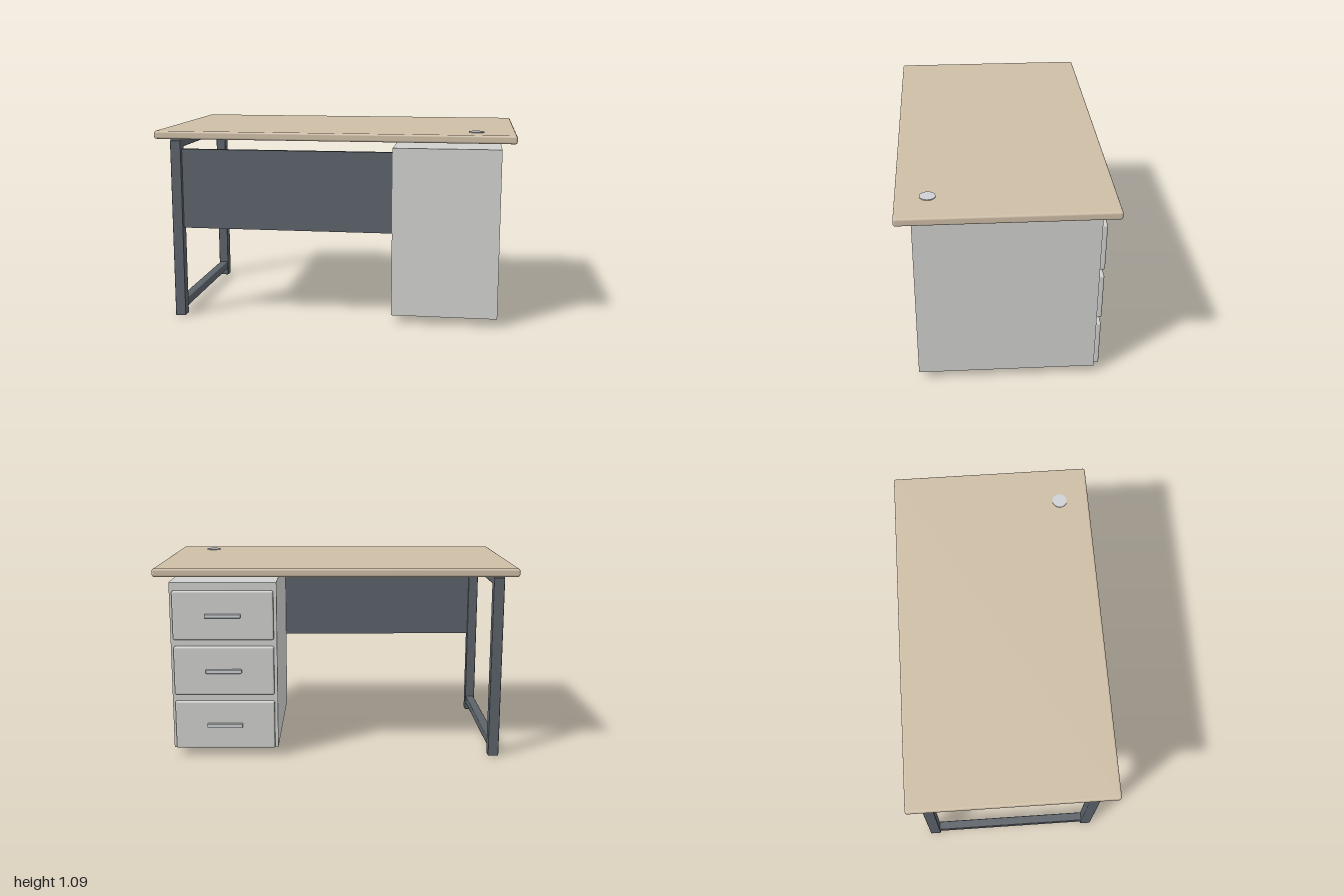
import * as THREE from 'three';
import { RoundedBoxGeometry } from 'three/addons/geometries/RoundedBoxGeometry.js';

const material = (name, color) => {
  const m = new THREE.MeshStandardMaterial({ color });
  m.name = name;
  return m;
};

export function createModel() {
  const wood = material('lightWood', 0xcdbda6);
  const grey = material('lightGrey', 0xd0d0ce);
  const steel = material('slateSteel', 0x5b6269);
  const silver = material('silver', 0xcdd1d4);

  const desk = new THREE.Group();
  desk.name = 'desk';

  // Box given by its extents on each axis, with optional softened edges
  function box(parent, name, mat, [x0, x1], [y0, y1], [z0, z1], radius = 0) {
    const size = [x1 - x0, y1 - y0, z1 - z0];
    const geometry = radius
      ? new RoundedBoxGeometry(...size, 3, radius)
      : new THREE.BoxGeometry(...size);
    const mesh = new THREE.Mesh(geometry, mat);
    mesh.name = name;
    mesh.position.set((x0 + x1) / 2, (y0 + y1) / 2, (z0 + z1) / 2);
    parent.add(mesh);
    return mesh;
  }

  // Tabletop with its cable grommet
  box(desk, 'tabletop', wood, [-1, 1], [1.04, 1.085], [-0.57, 0.57], 0.012);
  const grommet = new THREE.Mesh(new THREE.CylinderGeometry(0.042, 0.042, 0.055, 32), silver);
  grommet.name = 'cableGrommet';
  grommet.position.set(0.785, 1.0625, 0.4);
  desk.add(grommet);

  // Side frame: two legs joined by a top and a bottom rail
  const frame = new THREE.Group();
  frame.name = 'sideFrame';
  desk.add(frame);
  box(frame, 'frontLeg', steel, [-0.93, -0.87], [0, 1.025], [0.443, 0.505], 0.005);
  box(frame, 'backLeg', steel, [-0.93, -0.87], [0, 1.025], [-0.505, -0.443], 0.005);
  box(frame, 'topRail', steel, [-0.93, -0.87], [0.985, 1.04], [-0.5, 0.5], 0.008);
  box(frame, 'bottomRail', steel, [-0.925, -0.875], [0.04, 0.09], [-0.46, 0.46], 0.005);

  // Modesty panel between the frame and the cabinet
  box(desk, 'modestyPanel', steel, [-0.875, 0.335], [0.52, 0.975], [0.455, 0.48]);

  // Cabinet with three drawers on the back side
  const cabinet = new THREE.Group();
  cabinet.name = 'cabinet';
  desk.add(cabinet);
  box(cabinet, 'cabinetBody', grey, [0.33, 0.925], [0.047, 1], [-0.485, 0.485]);
  for (let i = 0; i < 3; i++) {
    const y = 0.188 + i * 0.3145;
    const drawer = new THREE.Group();
    drawer.name = `drawer${i + 1}`;
    cabinet.add(drawer);
    box(drawer, 'drawerFront', grey, [0.347, 0.908], [y - 0.138, y + 0.138], [-0.515, -0.483], 0.01);
    box(drawer, 'drawerHandle', silver, [0.527, 0.728], [y - 0.011, y + 0.011], [-0.535, -0.512], 0.004);
  }

  return desk;
}
